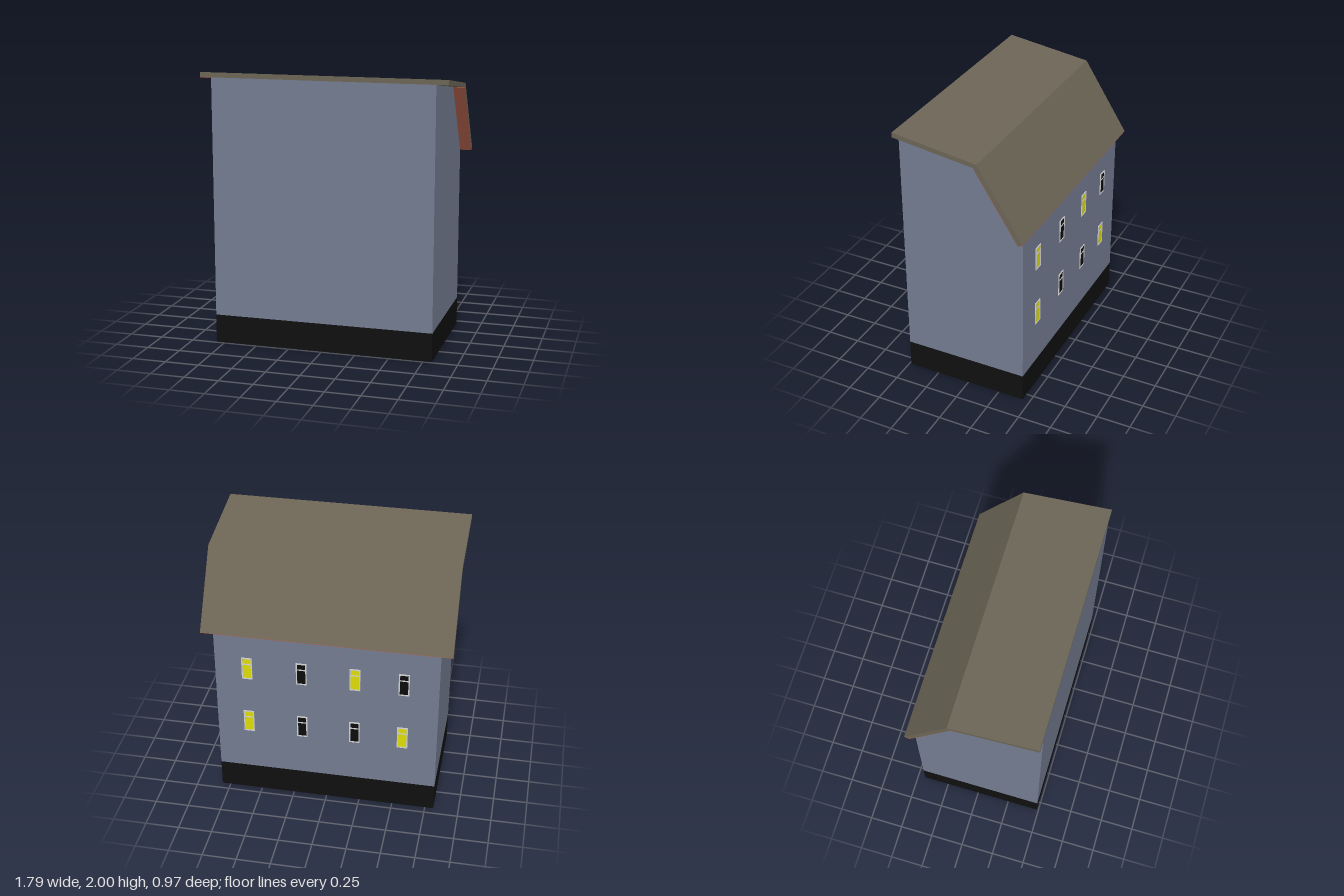
import * as THREE from 'three';

const mat = (name, color) => {
  const m = new THREE.MeshStandardMaterial({ color });
  m.name = name;
  return m;
};

export function createModel() {
  const house = new THREE.Group();
  house.name = 'house';
  const wall = mat('blue grey wall', 0x737b90);
  const base = mat('black plinth', 0x0f0f0f);
  const roof = mat('brown grey roof', 0x6c6556);
  const soffit = mat('brick red soffit', 0x9f5642);
  const frame = mat('light frame', 0xd0d0d0);
  const dark = mat('dark glass', 0x0c0c0c);
  const lit = mat('lit yellow glass', 0xdcdc08);

  const WX = 0.813, RX = 0.897; // half widths of wall and roof
  const BACK = -0.443, FRONT = 0.485;

  // Extrude a [z, y] side profile from x0 to x1
  function prism(name, pts, x0, x1, material) {
    const v = pts.map(([z, y]) => new THREE.Vector2(-z, y));
    const geo = new THREE.ExtrudeGeometry(new THREE.Shape(v), { depth: x1 - x0, bevelEnabled: false });
    geo.rotateY(Math.PI / 2).translate(x0, 0, 0);
    const mesh = new THREE.Mesh(geo, material);
    mesh.name = name;
    house.add(mesh);
  }

  // Thin lining laid on the underside edge a -> b of the roof profile
  function lining(name, a, b, x0, x1) {
    const dz = b[0] - a[0], dy = b[1] - a[1], k = 0.003 / Math.hypot(dz, dy);
    const n = [-dy * k, dz * k];
    prism(name, [a, b, [b[0] + n[0], b[1] + n[1]], [a[0] + n[0], a[1] + n[1]]], x0, x1, soffit);
  }

  // Plinth and walls
  prism('plinth', [[FRONT, 0], [FRONT, 0.21], [BACK, 0.21], [BACK, 0]], -WX, WX, base);
  prism('walls', [[FRONT, 0.21], [FRONT, 1.964], [-0.122, 1.88], [BACK, 1.372], [BACK, 0.21]], -WX, WX, wall);

  // Two-pitch roof slab with its lining
  const eave = [-0.445, 1.37], knee = [-0.122, 1.88], ridge = [FRONT, 1.964], tip = [-0.48, 1.387];
  prism('roof', [[FRONT, 2], [-0.146, 1.91], tip, eave, knee, ridge], -RX, RX, roof);
  lining('steepSoffit', knee, eave, -RX, RX);
  lining('eaveEdge', eave, tip, -RX, RX);
  lining('rightSoffit', ridge, knee, -RX, -WX);

  // Window: glass plate, outer frame with transom
  function addWindow(x, y, glassMaterial) {
    const w = 0.078, h = 0.18, t = 0.009;
    const win = new THREE.Group();
    win.name = 'window';
    const plate = (name, px, py, pw, ph, depth, m) => {
      const mesh = new THREE.Mesh(new THREE.BoxGeometry(pw, ph, depth), m);
      mesh.position.set(px, py, -depth / 2);
      mesh.name = name;
      win.add(mesh);
    };
    plate('glass', 0, 0, w - t, h - t, 0.003, glassMaterial);
    for (const s of [-1, 1]) {
      plate('jamb', s * (w - t) / 2, 0, t, h, 0.006, frame);
      plate('rail', 0, s * (h - t) / 2, w - 2 * t, t, 0.006, frame);
    }
    plate('transom', 0, h * 0.2, w - 2 * t, t, 0.006, frame);
    win.position.set(x, y, BACK);
    house.add(win);
  }
  const columns = [0.577, 0.178, -0.21, -0.562];
  const rows = [[1.095, [1, 0, 1, 0]], [0.63, [1, 0, 0, 1]]];
  for (const [y, lights] of rows) {
    columns.forEach((x, i) => addWindow(x, y, lights[i] ? lit : dark));
  }
  return house;
}
